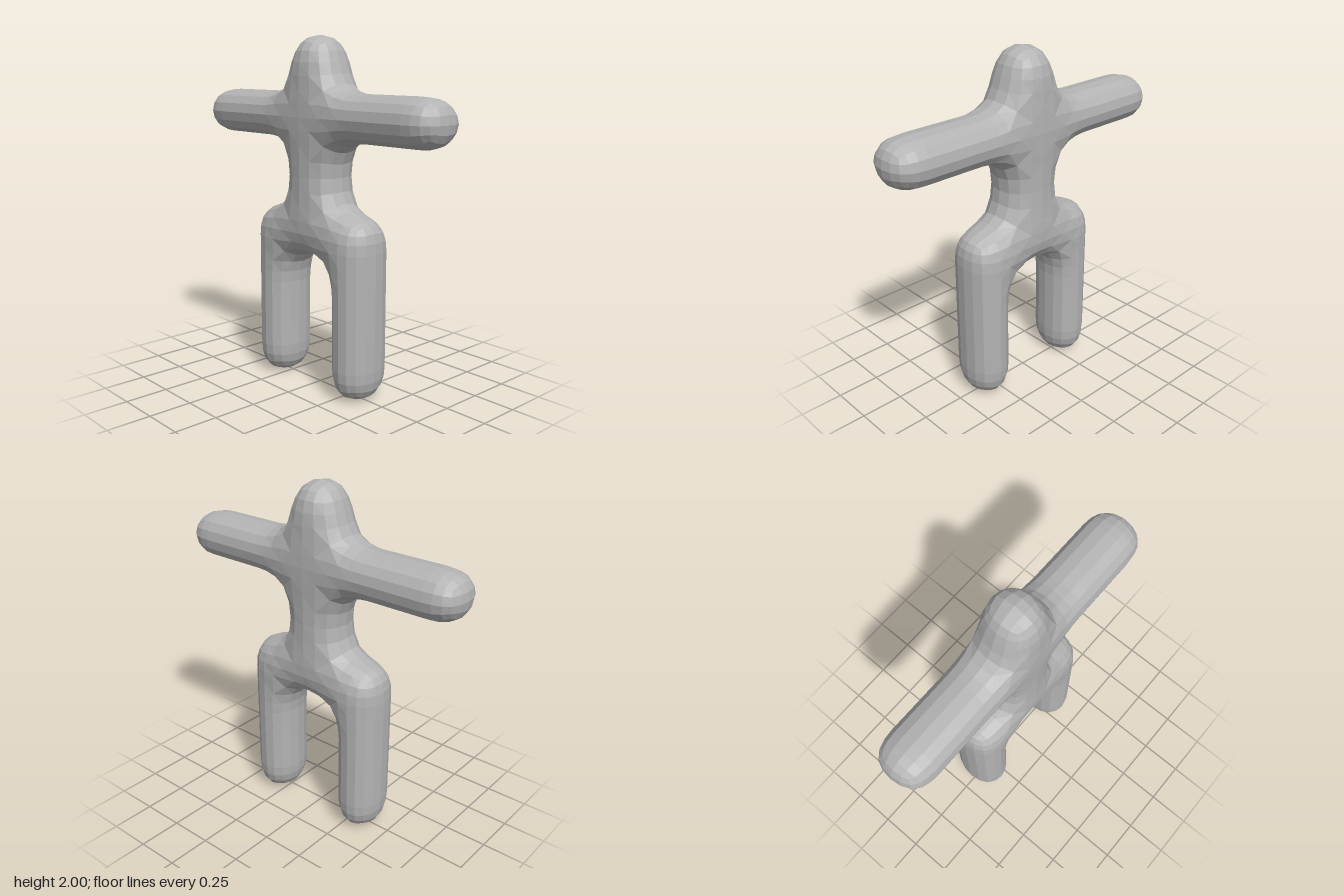
import * as THREE from 'three';

const HALF_DEPTH = 0.168;

// Side outline as strips of [z, y] pairs; each pair of rows makes one cell
const spine = [[0.175, 0.78], [0.175, 1.04], [0.175, 1.42], [0.175, 1.7], [0.15, 2.02]]
  .map(([z, y]) => [[-z, y], [z, y]]);
const arm = [0.175, 0.42, 0.67, 0.925].map((z) => [[z, 1.42], [z, 1.7]]);
const leg = [[0.175, 1.04], [0.175, 0.78], [0.18, 0.51], [0.18, 0.25], [0.18, -0.015]]
  .map(([z, y]) => [[z, y], [0.45, y]]);
const mirror = (strip) => strip.map((row) => row.map(([z, y]) => [-z, y]));

// Cells of a strip, all wound the same way as seen from +x
function stripCells(strip) {
  const cells = [];
  for (let i = 0; i + 1 < strip.length; i++) {
    const cell = [strip[i][0], strip[i][1], strip[i + 1][1], strip[i + 1][0]];
    let area = 0;
    cell.forEach(([z, y], k) => {
      const [z2, y2] = cell[(k + 1) % 4];
      area += y * z2 - y2 * z;
    });
    cells.push(area > 0 ? cell : cell.reverse());
  }
  return cells;
}

// Closed one-cell-thick cage: both faces plus walls along the open edges
function buildCage(cells) {
  const points = [], faces = [], index = new Map(), edges = new Map();
  const id = (x, [z, y]) => {
    const key = [x, y, z].map((v) => v.toFixed(4)).join();
    if (!index.has(key)) {
      index.set(key, points.length);
      points.push(new THREE.Vector3(x, y, z));
    }
    return index.get(key);
  };
  for (const cell of cells) {
    const near = cell.map((p) => id(HALF_DEPTH, p));
    const far = cell.map((p) => id(-HALF_DEPTH, p));
    faces.push(near, [...far].reverse());
    for (let k = 0; k < 4; k++) {
      const n = (k + 1) % 4;
      edges.set(near[k] + '_' + near[n], [near[n], near[k], far[k], far[n]]);
    }
  }
  for (const [key, wall] of edges) {
    if (!edges.has(key.split('_').reverse().join('_'))) faces.push(wall);
  }
  return { points, faces };
}

const average = (list) =>
  list.reduce((sum, v) => sum.add(v), new THREE.Vector3()).divideScalar(list.length);

// One round of smooth quad subdivision
function subdivide({ points, faces }) {
  const centres = faces.map((f) => average(f.map((i) => points[i])));
  const edges = new Map();
  const around = points.map(() => ({ centres: [], mids: [] }));
  const edgeKey = (a, b) => Math.min(a, b) + '_' + Math.max(a, b);
  faces.forEach((f, fi) => f.forEach((a, k) => {
    const b = f[(k + 1) % 4], key = edgeKey(a, b);
    around[a].centres.push(centres[fi]);
    if (!edges.has(key)) {
      const mid = average([points[a], points[b]]);
      edges.set(key, { ends: [points[a], points[b]], centres: [] });
      around[a].mids.push(mid);
      around[b].mids.push(mid);
    }
    edges.get(key).centres.push(centres[fi]);
  }));

  const out = points.map((p, i) => {
    const n = around[i].mids.length;
    return average(around[i].centres)
      .addScaledVector(average(around[i].mids), 2)
      .addScaledVector(p, n - 3)
      .divideScalar(n);
  });
  for (const e of edges.values()) {
    e.id = out.length;
    out.push(average([...e.ends, ...e.centres]));
  }
  const quads = [];
  faces.forEach((f, fi) => {
    const c = out.length;
    out.push(centres[fi]);
    f.forEach((a, k) => {
      const next = edges.get(edgeKey(a, f[(k + 1) % 4])).id;
      const prev = edges.get(edgeKey(f[(k + 3) % 4], a)).id;
      quads.push([a, next, c, prev]);
    });
  });
  return { points: out, faces: quads };
}

export function createModel() {
  const group = new THREE.Group();
  group.name = 'figure';
  const grey = new THREE.MeshStandardMaterial({ color: 0xb3b3b3, flatShading: true });
  grey.name = 'plain grey';

  // Head, torso, arms and legs as one continuous skin
  const cells = [spine, arm, mirror(arm), leg, mirror(leg)].flatMap(stripCells);
  let mesh = buildCage(cells);
  for (let i = 0; i < 2; i++) mesh = subdivide(mesh);

  const corners = mesh.faces.flatMap(([a, b, c, d]) => [a, b, c, a, c, d]);
  const geometry = new THREE.BufferGeometry()
    .setFromPoints(corners.map((i) => mesh.points[i]));
  geometry.computeVertexNormals();

  const body = new THREE.Mesh(geometry, grey);
  body.name = 'body';
  group.add(body);
  return group;
}
